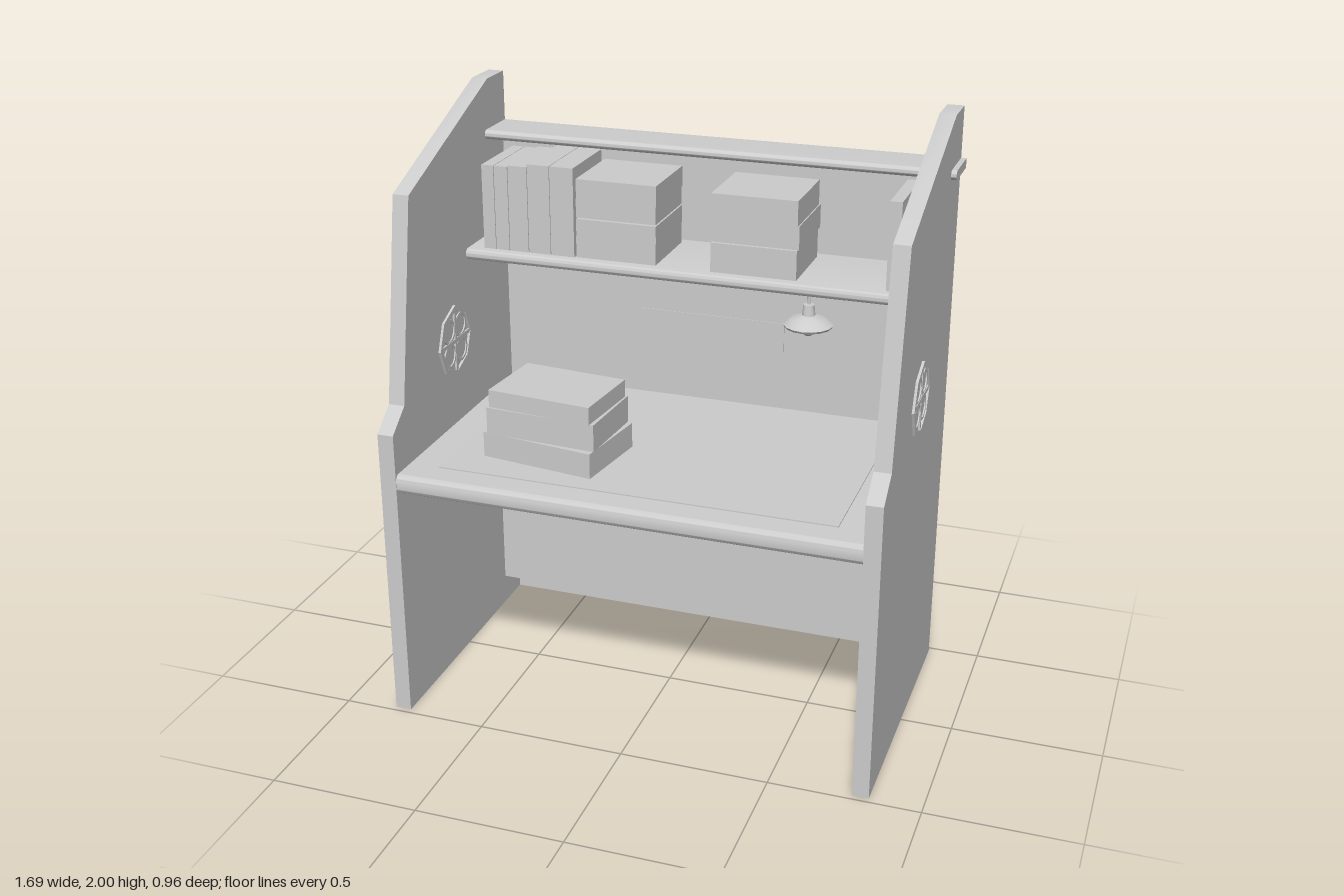
import * as THREE from 'three';
import { toCreasedNormals } from 'three/addons/utils/BufferGeometryUtils.js';

const paint = new THREE.MeshStandardMaterial({ color: 0xcccccc });
paint.name = 'plain grey';

export function createModel() {
  const model = new THREE.Group();
  model.name = 'deskWithShelf';

  const add = (name, geometry, parent = model) => {
    const mesh = new THREE.Mesh(geometry, paint);
    mesh.name = name;
    parent.add(mesh);
    return mesh;
  };

  // Box given by its limits on each axis
  const box = (name, x0, x1, y0, y1, z0, z1, parent) => {
    const mesh = add(name, new THREE.BoxGeometry(x1 - x0, y1 - y0, z1 - z0), parent);
    mesh.position.set((x0 + x1) / 2, (y0 + y1) / 2, (z0 + z1) / 2);
    return mesh;
  };

  // Outline drawn in (z, y), extruded along x and centred on x = 0
  const acrossX = (shape, width) => {
    const g = new THREE.ExtrudeGeometry(shape, { depth: width, bevelEnabled: false, curveSegments: 6 });
    g.translate(0, 0, -width / 2).rotateY(-Math.PI / 2);
    return toCreasedNormals(g, 0.6);
  };

  // Board with a rounded front edge
  const roundedBoard = (name, width, y0, y1, z0, z1, r) => {
    const s = new THREE.Shape();
    s.moveTo(z0, y0);
    s.lineTo(z1 - r, y0);
    s.absarc(z1 - r, y0 + r, r, -Math.PI / 2, 0);
    s.lineTo(z1, y1 - r);
    s.absarc(z1 - r, y1 - r, r, 0, Math.PI / 2);
    s.lineTo(z0, y1);
    s.closePath();
    return add(name, acrossX(s, width));
  };

  // Side panels with stepped, sloping front edge
  const outline = [[-0.48, 0], [0.48, 0], [0.48, 1.02], [0.39, 1.09], [0.275, 1.76], [-0.345, 2], [-0.48, 2]];
  const panel = acrossX(new THREE.Shape(outline.map(([z, y]) => new THREE.Vector2(z, y))), 0.055);

  // Octagonal rosette: a ring with four openings, standing proud of both panel faces
  const octagon = (Type, r) => new Type(
    Array.from({ length: 8 }, (_, i) => {
      const a = i * Math.PI / 4;
      return new THREE.Vector2(r * Math.cos(a), r * Math.sin(a));
    }));
  const ring = octagon(THREE.Shape, 0.127);
  ring.holes.push(octagon(THREE.Path, 0.108));
  const ringGeometry = acrossX(ring, 0.072);
  for (const side of [-1, 1]) {
    const name = side > 0 ? 'left' : 'right';
    add(name + 'SidePanel', panel).position.x = side * 0.8;
    const rosette = new THREE.Group();
    rosette.name = name + 'Rosette';
    rosette.position.set(side * 0.8, 1.178, 0);
    model.add(rosette);
    add('rosetteRing', ringGeometry, rosette);
    for (let i = 0; i < 4; i++) {
      const a = i * Math.PI / 2;
      const spoke = add('rosetteSpoke', new THREE.BoxGeometry(0.068, 0.115, 0.014), rosette);
      spoke.position.set(0, 0.0575 * Math.cos(a), 0.0575 * Math.sin(a));
      spoke.rotation.x = a;
      const petal = new THREE.Shape().absarc(0, 0, 0.044, 0, Math.PI * 2);
      petal.holes.push(new THREE.Path().absarc(0, 0, 0.035, 0, Math.PI * 2));
      const loop = add('rosetteLoop', acrossX(petal, 0.064), rosette);
      loop.position.set(0, 0.062 * Math.sin(a + Math.PI / 4), 0.062 * Math.cos(a + Math.PI / 4));
    }
  }

  // Carcass
  box('backPanel', -0.775, 0.775, 0, 1.805, -0.475, -0.46);
  box('modestyPanel', -0.775, 0.775, 0.105, 0.82, -0.35, -0.33);
  box('deskRail', -0.775, 0.775, 0.78, 0.82, -0.33, -0.31);
  roundedBoard('desktop', 1.55, 0.815, 0.88, -0.465, 0.478, 0.02);
  box('deskMat', -0.67, 0.67, 0.88, 0.884, -0.46, 0.375);
  roundedBoard('shelf', 1.55, 1.427, 1.465, -0.465, -0.12, 0.015);
  roundedBoard('topRail', 1.69, 1.798, 1.83, -0.48, -0.31, 0.015);
  box('noticeStrip', -0.26, 0.26, 1.08, 1.2, -0.462, -0.457);

  // Upright books on the shelf
  const edges = [-0.72, -0.675, -0.625, -0.555, -0.475, -0.39];
  const tops = [1.755, 1.755, 1.76, 1.77, 1.77];
  tops.forEach((top, i) => box('uprightBook', edges[i] + 0.001, edges[i + 1] - 0.001, 1.465, top, -0.42, -0.155));
  box('endBook', 0.67, 0.71, 1.465, 1.76, -0.42, -0.155);

  // Flat stacks: [thickness, x shift, z shift] per book
  const stack = (name, x0, x1, books) => {
    let y = 1.465;
    for (const [h, dx, dz] of books) {
      box(name, x0 + dx, x1 + dx, y, y + h, -0.44 + dz, -0.17 + dz);
      y += h;
    }
  };
  stack('shelfStackBook', -0.385, -0.105, [[0.075, 0, 0.01], [0.06, 0.003, 0.015], [0.065, -0.003, 0], [0.07, 0.003, 0.012]]);
  stack('secondStackBook', 0.085, 0.375, [[0.1, 0, 0.012], [0.08, 0.004, 0], [0.085, 0, 0.01]]);

  // Turned books on the desk: [bottom, top, width, depth, turn]
  for (const [y0, y1, w, d, turn] of [
    [0.884, 0.97, 0.4, 0.288, -0.145],
    [0.97, 1.062, 0.385, 0.27, -0.07],
    [1.062, 1.122, 0.365, 0.265, -0.1],
  ]) {
    const book = box('deskBook', -w / 2, w / 2, y0, y1, -d / 2, d / 2);
    book.position.x = -0.345;
    book.position.z = 0.133;
    book.rotation.y = turn;
  }

  // Hanging lamp under the shelf
  const lamp = new THREE.Group();
  lamp.name = 'hangingLamp';
  lamp.position.set(0.41, 0, -0.2);
  model.add(lamp);
  const cord = add('lampCord', new THREE.CylinderGeometry(0.005, 0.005, 0.07, 8), lamp);
  cord.position.y = 1.398;
  const profile = [[0.05, 1.296], [0.078, 1.3], [0.083, 1.308], [0.055, 1.33], [0.022, 1.34], [0.018, 1.376], [0, 1.378]];
  const shade = new THREE.LatheGeometry(profile.map(([r, y]) => new THREE.Vector2(r, y)), 16);
  add('lampShade', toCreasedNormals(shade, 0.6), lamp);
  const under = add('lampUnderside', new THREE.CircleGeometry(0.05, 16).rotateX(Math.PI / 2), lamp);
  under.position.y = 1.296;
  add('lampBulb', new THREE.SphereGeometry(0.025, 12, 8), lamp).position.y = 1.292;

  return model;
}
